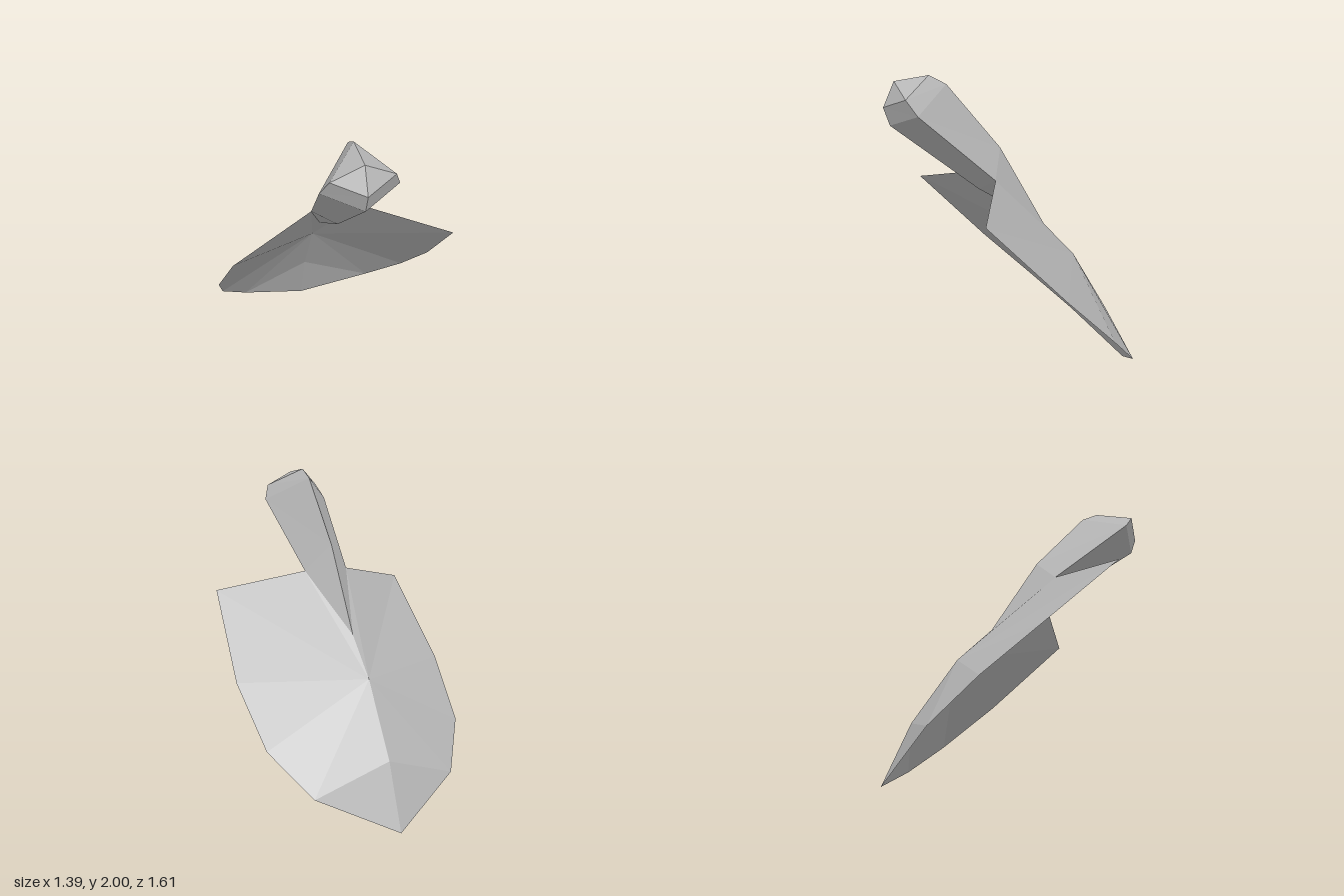
import * as THREE from 'three';

// Corners on the centre line and the +x half; the -x half is mirrored.
const P = {
  // blade
  centre: [0, 0.81, -0.405], fold: [0, 0.385, -0.66], tip: [0, 0, -0.807],
  shoulder: [0.65, 1.26, 0.43], wide: [0.697, 0.78, -0.04],
  lower: [0.645, 0.455, -0.38], nose: [0.457, 0.22, -0.62],
  // joint of blade and handle
  neck: [0, 1.035, -0.195], socket: [0.145, 1.383, 0.185],
  // handle
  back: [0, 1.55, 0.1], backTop: [0, 1.945, 0.43], crown: [0, 2, 0.533],
  side: [0.215, 1.8, 0.662], sideTop: [0.175, 1.89, 0.718],
  end: [0, 1.975, 0.737], endFront: [0, 1.83, 0.805],
  under: [0, 1.725, 0.77], underNeck: [0, 1.305, 0.24],
};

// Builds a flat-faceted mesh from polygons of the +x half plus their mirror image.
function mirroredMesh(name, faces, material) {
  const pos = [];
  for (const face of faces) {
    const c = face.split(' ').map((key) => P[key]);
    for (let i = 1; i < c.length - 1; i++) {
      pos.push(...c[0], ...c[i], ...c[i + 1]);
      for (const [x, y, z] of [c[0], c[i + 1], c[i]]) pos.push(-x, y, z);
    }
  }
  const geo = new THREE.BufferGeometry();
  geo.setAttribute('position', new THREE.Float32BufferAttribute(pos, 3));
  geo.computeVertexNormals();
  const mesh = new THREE.Mesh(geo, material);
  mesh.name = name;
  return mesh;
}

export function createModel() {
  const steel = new THREE.MeshStandardMaterial({
    color: 0xb4b4b4, side: THREE.DoubleSide, flatShading: true,
  });
  steel.name = 'grey';

  const group = new THREE.Group();
  group.name = 'trowel';

  // Thin scooped blade, fanned around its centre
  group.add(mirroredMesh('blade', [
    'centre neck socket',
    'centre socket shoulder',
    'centre shoulder wide',
    'centre wide lower',
    'centre lower nose',
    'centre nose fold',
    'fold nose tip',
  ], steel));

  // Four-sided handle with a bevelled end
  group.add(mirroredMesh('handle', [
    'neck back socket',
    'back backTop side',
    'back side socket',
    'backTop crown sideTop side',
    'crown end sideTop',
    'end endFront sideTop',
    'endFront under side sideTop',
    'under underNeck socket side',
    'underNeck neck socket',
  ], steel));

  return group;
}
